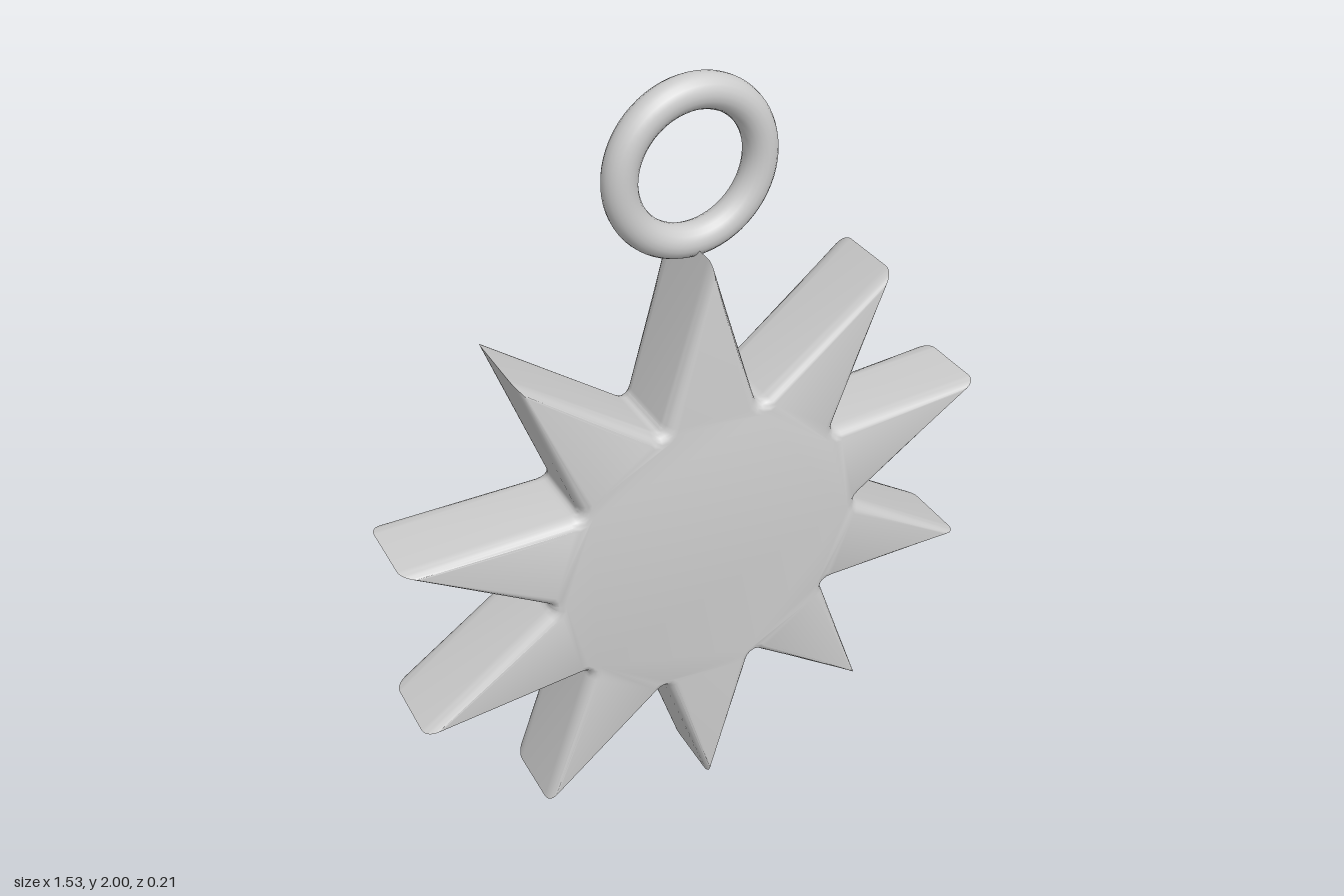
import * as THREE from 'three';
import { toCreasedNormals } from 'three/addons/utils/BufferGeometryUtils.js';

const POINTS = 10, TIP_R = 0.805, NOTCH_R = 0.41, FILLET = 0.03;
const DEPTH = 0.214, BEVEL = 0.036;

// Star outline with sharp tips and slightly rounded notches
function starShape() {
  const at = (r, i) => {
    const a = Math.PI / 2 + (i * Math.PI) / POINTS;
    return new THREE.Vector2(r * Math.cos(a), r * Math.sin(a));
  };
  const towards = (from, to) => to.clone().sub(from).setLength(FILLET).add(from);
  const shape = new THREE.Shape();
  const first = at(TIP_R, 0);
  shape.moveTo(first.x, first.y);
  for (let i = 0; i < POINTS; i++) {
    const tip = at(TIP_R, 2 * i), notch = at(NOTCH_R, 2 * i + 1), next = at(TIP_R, 2 * i + 2);
    const a = towards(notch, tip), b = towards(notch, next);
    shape.lineTo(a.x, a.y);
    shape.quadraticCurveTo(notch.x, notch.y, b.x, b.y);
    if (i < POINTS - 1) shape.lineTo(next.x, next.y);
  }
  shape.closePath();
  return shape;
}

export function createModel() {
  const group = new THREE.Group();
  group.name = 'starPendant';
  const metal = new THREE.MeshStandardMaterial({ color: 0xcccccc });
  metal.name = 'light grey metal';

  // Thick star with rounded front and back edges
  const star = new THREE.ExtrudeGeometry(starShape(), {
    depth: DEPTH - 2 * BEVEL,
    bevelEnabled: true,
    bevelThickness: BEVEL,
    bevelSize: 0.03,
    bevelOffset: -0.03,
    bevelSegments: 6,
    curveSegments: 5,
  });
  star.translate(0, 0, -DEPTH / 2 + BEVEL);
  const body = new THREE.Mesh(toCreasedNormals(star, 0.6), metal);
  body.name = 'starBody';
  body.position.y = TIP_R + 0.002;
  group.add(body);

  // Hanging ring on the top point
  const ring = new THREE.Mesh(new THREE.TorusGeometry(0.168, 0.039, 20, 64), metal);
  ring.name = 'hangingRing';
  ring.position.y = 1.793;
  group.add(ring);

  return group;
}
